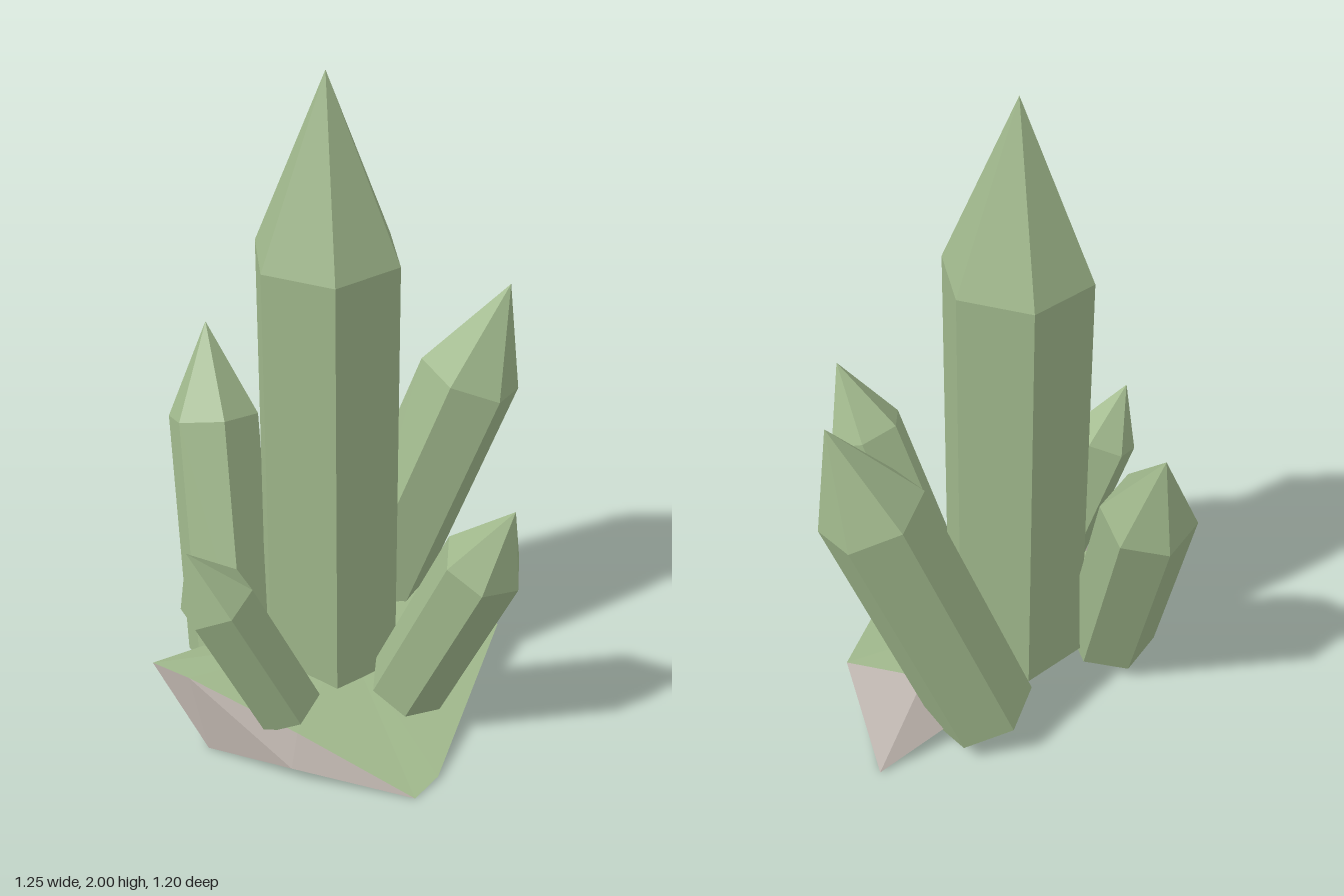
import * as THREE from 'three';

const V = (p) => new THREE.Vector3(...p);

// Six-sided crystal: straight prism from base to shoulder, then a pointed tip.
// corner is the direction of one prism edge as seen from the axis.
function crystal(name, material, base, shoulder, tipLength, radius, corner) {
  const axis = V(shoulder).sub(V(base));
  const length = axis.length();
  axis.normalize();
  const z = V(corner).projectOnPlane(axis).normalize();
  const x = new THREE.Vector3().crossVectors(axis, z);
  const profile = [[0, 0], [radius, 0], [radius, length], [0, length + tipLength]]
    .map(([r, y]) => new THREE.Vector2(r, y));
  const geometry = new THREE.LatheGeometry(profile, 6);
  geometry.applyMatrix4(new THREE.Matrix4().makeBasis(x, axis, z).setPosition(...base));
  const mesh = new THREE.Mesh(geometry, material);
  mesh.name = name;
  return mesh;
}

// Faceted surface from named corners and triangles
function facets(name, material, points, triangles) {
  const positions = triangles.flatMap((t) => t.flatMap((key) => points[key]));
  const geometry = new THREE.BufferGeometry();
  geometry.setAttribute('position', new THREE.Float32BufferAttribute(positions, 3));
  geometry.computeVertexNormals();
  const mesh = new THREE.Mesh(geometry, material);
  mesh.name = name;
  return mesh;
}

export function createModel() {
  const green = new THREE.MeshStandardMaterial({ color: 0xa0b88c, flatShading: true });
  green.name = 'crystalGreen';
  const grey = new THREE.MeshStandardMaterial({ color: 0xaca39d, flatShading: true });
  grey.name = 'rockGrey';

  const model = new THREE.Group();
  model.name = 'crystalCluster';

  // Crystals
  model.add(
    crystal('mainCrystal', green, [-0.05, 0.1, -0.045], [-0.05, 1.47, -0.045], 0.53, 0.22, [1, 0, 0]),
    crystal('leftCrystal', green, [0.225, 0.09, -0.21], [0.485, 0.91, -0.045], 0.321, 0.16, [0.015, 0.029, -0.155]),
    crystal('frontCrystal', green, [0.03, 0.115, 0.247], [0.095, 0.675, 0.495], 0.236, 0.123, [0.12, -0.02, 0.015]),
    crystal('rightCrystal', green, [-0.33, 0.13, 0.115], [-0.525, 0.57, 0.07], 0.198, 0.112, [-0.02, 0, 0.11]),
    crystal('backCrystal', green, [-0.286, 0.095, -0.237], [-0.177, 0.795, -0.47], 0.288, 0.142, [0.137, -0.03, -0.025]),
  );

  // Rock corners: centre, rim of the green top, then the lower corners
  const points = {
    centre: [-0.02, 0.16, 0],
    corner: [-0.585, 0.19, -0.215],
    side: [-0.53, 0.18, -0.1],
    seam: [-0.36, 0.1, 0.22],
    toe: [-0.185, 0, 0.56],
    toe2: [-0.08, 0.01, 0.535],
    ledge: [0.44, 0.115, 0.185],
    peak: [0.33, 0.165, -0.06],
    back: [0.11, 0.13, -0.225],
    back2: [-0.395, 0.17, -0.215],
    foot: [-0.545, 0, 0.02],
    bulge: [-0.43, 0.05, 0.29],
    under: [0.45, 0, 0.07],
    spur: [0.58, 0, -0.15],
  };
  const rim = ['corner', 'side', 'seam', 'toe', 'toe2', 'ledge', 'peak', 'back', 'back2'];
  model.add(facets('rockTop', green, points,
    rim.map((key, i) => ['centre', key, rim[(i + 1) % rim.length]])));

  // Rock sides and underside
  model.add(facets('rockBase', grey, points, [
    ['corner', 'foot', 'side'], ['side', 'foot', 'bulge'], ['side', 'bulge', 'seam'],
    ['seam', 'bulge', 'toe'], ['bulge', 'foot', 'toe'],
    ['toe', 'under', 'toe2'], ['toe2', 'under', 'ledge'],
    ['ledge', 'under', 'spur'], ['ledge', 'spur', 'peak'], ['peak', 'spur', 'back'],
    ['back', 'spur', 'foot'], ['back', 'foot', 'back2'], ['back2', 'foot', 'corner'],
    ['foot', 'spur', 'toe'], ['spur', 'under', 'toe'],
  ]));

  return model;
}
